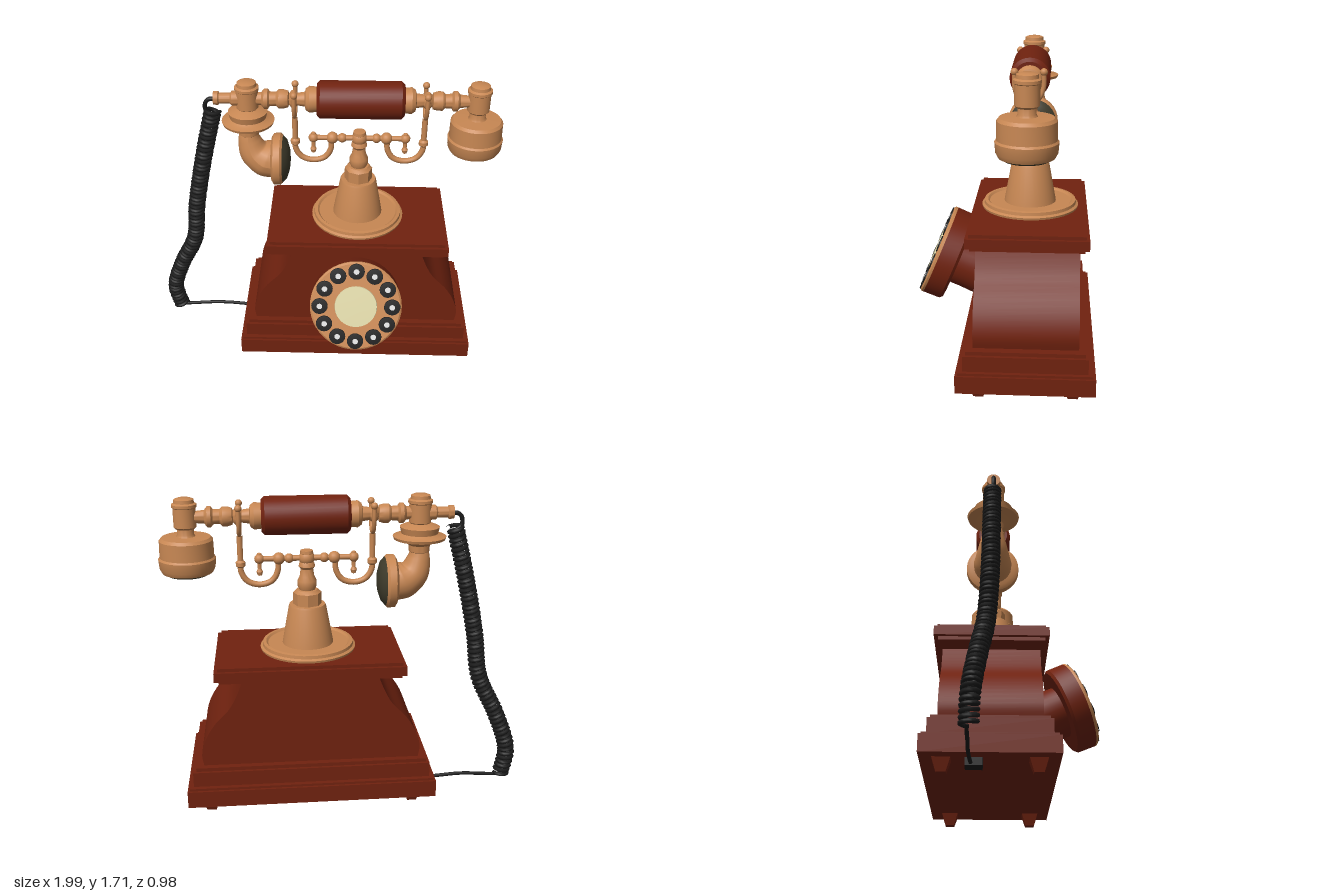
import * as THREE from 'three';
import { toCreasedNormals } from 'three/addons/utils/BufferGeometryUtils.js';

const material = (name, color) => {
  const m = new THREE.MeshStandardMaterial({ color });
  m.name = name;
  return m;
};
const V = (x, y, z) => new THREE.Vector3(x, y, z);
const CX = 0.205, CZ = -0.138, AXIS_Y = 1.605;

export function createModel() {
  const wood = material('red wood', 0x70220f);
  const brass = material('brass', 0xc78753);
  const black = material('black', 0x1b1b1b);
  const cream = material('cream', 0xdcd5a6);
  const white = material('off white', 0xdedede);
  const grille = material('dark grille', 0x3f3c2c);
  const root = new THREE.Group();

  const add = (name, geo, mat, x = 0, y = 0, z = 0, parent = root) => {
    const mesh = new THREE.Mesh(geo, mat);
    mesh.name = name;
    mesh.position.set(x, y, z);
    parent.add(mesh);
    return mesh;
  };
  // turned part: pairs of radius and height, from bottom to top
  const turned = (pts, seg = 32) => toCreasedNormals(
    new THREE.LatheGeometry(pts.map(p => new THREE.Vector2(p[0], p[1])), seg), 0.6);
  const tube = (pts, r, n = 24, seg = 10) =>
    new THREE.TubeGeometry(new THREE.CatmullRomCurve3(pts), n, r, seg);
  const ball = r => new THREE.SphereGeometry(r, 16, 12);

  // stepped plinth and top slab: half width, half depth, bottom, top
  const slabs = [
    ['baseTier', 0.685, 0.358, 0.07, 0.165], ['baseTrim', 0.672, 0.345, 0.165, 0.178],
    ['middleTier', 0.652, 0.32, 0.178, 0.262], ['middleTrim', 0.635, 0.305, 0.262, 0.282],
    ['slabUnderTrim', 0.49, 0.292, 0.77, 0.79], ['topSlab', 0.513, 0.315, 0.79, 0.842],
    ['slabTopTrim', 0.493, 0.297, 0.842, 0.86],
  ];
  for (const [name, w, d, y0, y1] of slabs)
    add(name, new THREE.BoxGeometry(w * 2, y1 - y0, d * 2), wood, CX, (y0 + y1) / 2, CZ);

  // bulging cabinet
  const side = new THREE.SplineCurve([[0.592, 0.28], [0.601, 0.35], [0.575, 0.44], [0.52, 0.53],
    [0.445, 0.61], [0.4, 0.69], [0.364, 0.78]].map(p => new THREE.Vector2(...p))).getPoints(20);
  const outline = new THREE.Shape([...side,
    ...side.map(p => new THREE.Vector2(-p.x, p.y)).reverse()]);
  const cabinet = new THREE.ExtrudeGeometry(outline, { depth: 0.543, bevelEnabled: false });
  add('cabinet', toCreasedNormals(cabinet, 0.6), wood, CX, 0, CZ - 0.2715);

  // tapered feet
  for (const sx of [-1, 1]) for (const sz of [-1, 1]) {
    const geo = new THREE.CylinderGeometry(0.072, 0.036, 0.08, 4).toNonIndexed();
    geo.rotateY(Math.PI / 4);
    geo.computeVertexNormals();
    add('foot', geo, wood, CX + sx * 0.565, 0.04, CZ + sz * 0.245);
  }

  // rotary dial, tilted back; its own y axis points out of the face
  const dial = new THREE.Group();
  dial.name = 'dial';
  dial.position.set(CX - 0.003, 0.59, 0.385);
  dial.rotation.x = THREE.MathUtils.degToRad(67);
  root.add(dial);
  add('dialDrum', turned([[0, -0.13], [0.242, -0.13], [0.255, -0.115], [0.257, -0.02], [0, -0.02]], 48),
    wood, 0, 0, 0, dial);
  add('dialFace', turned([[0.257, -0.02], [0.257, -0.008], [0.247, 0], [0, 0]], 48), brass, 0, 0, 0, dial);
  add('dialCentre', turned([[0.119, 0], [0.117, 0.007], [0, 0.009]], 40), cream, 0, 0, 0, dial);
  add('dialNeck', turned([[0.155, -0.31], [0.15, -0.2], [0.15, -0.12]]), wood, 0, 0, 0, dial);
  for (let i = 0; i < 12; i++) {
    const a = i / 12 * Math.PI * 2, x = Math.cos(a) * 0.203, z = Math.sin(a) * 0.203;
    add('fingerHole', turned([[0.046, 0], [0.045, 0.006], [0, 0.009]], 20), black, x, 0, z, dial);
    add('fingerHoleMark', turned([[0.017, 0.005], [0.016, 0.01], [0, 0.01]], 10), white, x, 0, z, dial);
  }
  const flange = add('neckFlange', new THREE.CylinderGeometry(0.16, 0.16, 0.04, 32), wood, CX, 0.485, 0.137);
  flange.rotation.x = Math.PI / 2 - 0.1;

  // brass stand
  add('standFlange', turned([[0.262, 0.86], [0.265, 0.872], [0.252, 0.88], [0.25, 0.897], [0.232, 0.9],
    [0.222, 0.89], [0.14, 0.89]], 40), brass, CX, 0, CZ);
  add('standCone', turned([[0.142, 0.885], [0.138, 0.91], [0.103, 1.1], [0.098, 1.112], [0, 1.112]]),
    brass, CX, 0, CZ);
  add('standNut', turned([[0.078, 1.11], [0.078, 1.178], [0.06, 1.195], [0, 1.195]], 8), brass, CX, 0, CZ);
  add('standColumn', turned([[0.042, 1.19], [0.052, 1.215], [0.052, 1.245], [0.04, 1.27], [0.034, 1.31],
    [0.045, 1.325], [0.04, 1.345], [0.03, 1.36], [0.03, 1.39], [0.036, 1.395], [0.034, 1.412],
    [0, 1.415]], 24), brass, CX, 0, CZ);
  add('standHub', ball(0.043), brass, CX, 1.37, CZ);

  // mirrored cradle arms
  for (const s of [-1, 1]) {
    const arm = new THREE.Group();
    arm.name = s < 0 ? 'cradleArmRight' : 'cradleArmLeft';
    arm.position.set(CX, 0, CZ);
    root.add(arm);
    const part = (name, geo, x, y, z = 0) => add(name, geo, brass, s * x, y, z, arm);
    part('crossBar', tube([V(0, 1.37, 0), V(s * 0.25, 1.37, 0)], 0.015, 2), 0, 0);
    for (const [x, r] of [[0.095, 0.026], [0.15, 0.033], [0.255, 0.027]]) part('barBead', ball(r), x, 1.37);
    part('peg', turned([[0, 1.275], [0.012, 1.28], [0.018, 1.3], [0.01, 1.315], [0.012, 1.35],
      [0.018, 1.37], [0.012, 1.4], [0, 1.405]], 12), 0.255, 0);
    part('hook', tube([V(s * 0.155, 1.37, 0), V(s * 0.158, 1.3, 0), V(s * 0.19, 1.247, 0),
      V(s * 0.255, 1.227, 0), V(s * 0.32, 1.247, 0), V(s * 0.354, 1.3, 0), V(s * 0.356, 1.37, 0),
      V(s * 0.356, 1.5, 0)], 0.016, 40), 0, 0);
    part('hookCollar', turned([[0.016, 1.325], [0.026, 1.335], [0.026, 1.355], [0.016, 1.365]], 14), 0.356, 0);
    part('fork', tube([V(0, 1.655, -0.072), V(0, 1.58, -0.07), V(0, 1.525, -0.045), V(0, 1.505, 0),
      V(0, 1.525, 0.045), V(0, 1.58, 0.07), V(0, 1.655, 0.072)], 0.012, 32, 8), 0.356, 0);
    for (const z of [-0.072, 0.072]) part('forkTip', ball(0.019), 0.356, 1.66, z);
  }

  // handset, turned along x
  const alongX = (name, pts, mat, y = AXIS_Y) => {
    add(name, turned(pts), mat, 0, y, CZ).rotation.z = -Math.PI / 2;
  };
  alongX('grip', [[0, -0.03], [0.085, -0.03], [0.103, -0.012], [0.103, 0.425], [0.085, 0.443], [0, 0.443]]
    .map(p => [p[0], p[1]]), wood);
  const neck = [[0.03, 0.235], [0.03, 0.385], [0.045, 0.39], [0.052, 0.415], [0.052, 0.44], [0.038, 0.455],
    [0.04, 0.49], [0.055, 0.5], [0.055, 0.52], [0.036, 0.535], [0.03, 0.6], [0.03, 0.65]];
  const collar = [[0.05, 0.23], [0.068, 0.235], [0.072, 0.275], [0.058, 0.295], [0.04, 0.3],
    [0.034, 0.34], [0.048, 0.355], [0.048, 0.37], [0.032, 0.385]];
  for (const [name, pts] of [['handsetNeck', neck], ['gripCollar', collar]]) {
    alongX(name, pts.map(([r, t]) => [r, CX + t]), brass);
    alongX(name, pts.map(([r, t]) => [r, CX - t]).reverse(), brass);
  }
  alongX('cordStub', [[0, -0.59], [0.036, -0.59], [0.038, -0.565], [0.029, -0.558], [0.029, -0.5],
    [0.04, -0.49], [0.04, -0.45]], brass);

  const joint = [[0.05, 1.545], [0.06, 1.555], [0.06, 1.655], [0.066, 1.66], [0.066, 1.675],
    [0.054, 1.682], [0.052, 1.7], [0.035, 1.707], [0, 1.707]];
  const earX = 0.842, mouthX = -0.408;

  // earpiece
  add('earJoint', turned(joint), brass, earX, 0, CZ);
  add('earBell', turned([[0.135, 1.31], [0.148, 1.335], [0.152, 1.385], [0.144, 1.395], [0.142, 1.485],
    [0.13, 1.5], [0.05, 1.504], [0.044, 1.515], [0.044, 1.56]], 40), brass, earX, 0, CZ);
  add('earGrille', turned([[0, 1.277], [0.06, 1.283], [0.11, 1.297], [0.136, 1.314]], 40), grille, earX, 0, CZ);

  // mouthpiece cup, elbow and horn
  add('mouthJoint', turned(joint), brass, mouthX, 0, CZ);
  add('mouthCup', turned([[0.045, 1.385], [0.056, 1.395], [0.058, 1.43], [0.085, 1.45], [0.14, 1.463],
    [0.145, 1.478], [0.115, 1.485], [0.1, 1.495], [0.108, 1.53], [0.085, 1.54], [0.05, 1.552]], 40),
    brass, mouthX, 0, CZ);
  const bend = new THREE.CatmullRomCurve3([V(mouthX, 1.42, CZ), V(mouthX + 0.002, 1.35, CZ),
    V(-0.38, 1.275, CZ), V(-0.325, 1.235, CZ), V(-0.26, 1.225, CZ)]);
  const elbow = new THREE.TubeGeometry(bend, 24, 1, 20), pos = elbow.attributes.position, p = V(0, 0, 0);
  for (let i = 0; i < pos.count; i++) {
    const t = Math.floor(i / 21) / 24, c = bend.getPointAt(t);
    p.fromBufferAttribute(pos, i).sub(c).multiplyScalar(0.045 + 0.06 * Math.min(1, t * 1.3)).add(c);
    pos.setXYZ(i, p.x, p.y, p.z);
  }
  elbow.computeVertexNormals();
  add('mouthElbow', elbow, brass);
  alongX('mouthRim', [[0, -0.285], [0.125, -0.285], [0.146, -0.272], [0.147, -0.235], [0.135, -0.222]], brass, 1.228);
  alongX('mouthGrille', [[0.136, -0.224], [0.11, -0.2], [0.06, -0.184], [0, -0.178]], grille, 1.228);

  // coiled cord: a helix wound around a hanging path
  const path = new THREE.CatmullRomCurve3([V(-0.6, 1.53, -0.144), V(-0.675, 1.225, -0.146),
    V(-0.74, 0.905, -0.15), V(-0.775, 0.65, -0.165), V(-0.88, 0.42, -0.2), V(-0.945, 0.21, -0.228),
    V(-0.92, 0.05, -0.235)]);
  class Coil extends THREE.Curve {
    getPoint(t, target = V(0, 0, 0)) {
      const a = t * Math.PI * 2 * 58, tan = path.getTangentAt(t);
      const u = V(0, 0, 1).cross(tan).normalize(), w = tan.clone().cross(u);
      return target.copy(path.getPointAt(t))
        .addScaledVector(u, Math.cos(a) * 0.039).addScaledVector(w, Math.sin(a) * 0.039);
    }
  }
  const coil = new Coil();
  coil.arcLengthDivisions = 1600;
  add('coiledCord', new THREE.TubeGeometry(coil, 930, 0.0115, 6), black);
  add('cordTopLink', tube([V(-0.58, 1.6, CZ), V(-0.615, 1.598, CZ), V(-0.637, 1.575, CZ),
    V(-0.637, 1.53, CZ), V(-0.6, 1.5, CZ)], 0.012), black);
  add('cordTail', tube([V(-0.95, 0.05, -0.24), V(-0.87, 0.05, -0.244), V(-0.68, 0.064, -0.245),
    V(-0.52, 0.055, -0.245), V(-0.39, 0.042, -0.235)], 0.01), black);
  add('cordPlug', new THREE.BoxGeometry(0.09, 0.04, 0.09), black, -0.355, 0.05, -0.22);

  return root;
}
